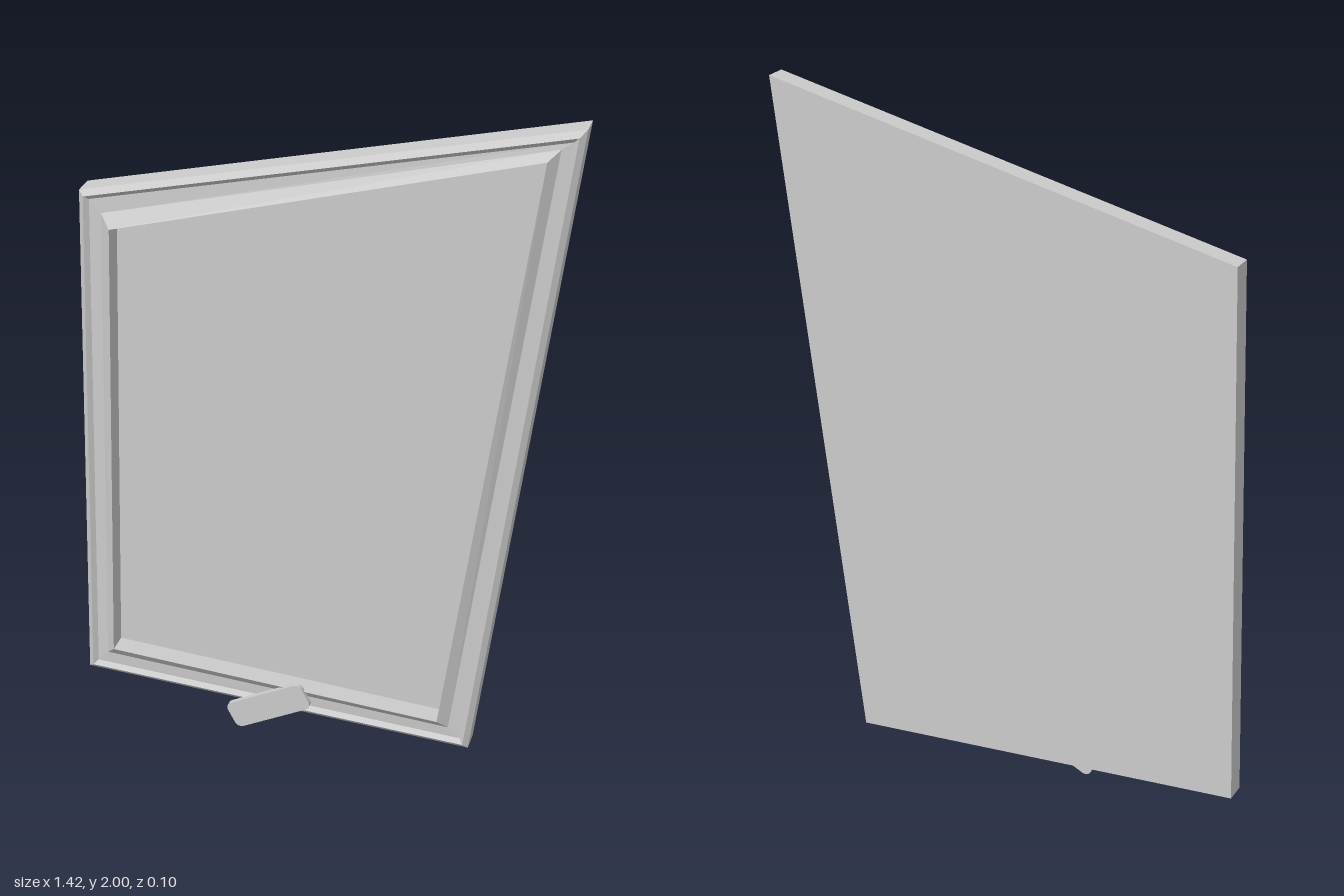
import * as THREE from 'three';

// Outlines, anticlockwise from the front: bottom left, bottom right, top right, top left
const OUTER = [[-0.712, 0.102], [0.463, 0.036], [0.71, 2.0], [-0.667, 1.67]];
const RIDGE_FOOT = [[-0.65, 0.165], [0.402, 0.1], [0.646, 1.94], [-0.605, 1.61]];
const RIDGE_TOP = [[-0.62, 0.198], [0.374, 0.132], [0.616, 1.912], [-0.574, 1.576]];

// Moves every edge of an outline inwards by d and returns the new corners
function inset(points, d) {
  const lines = points.map(([x, y], i) => {
    const [x2, y2] = points[(i + 1) % points.length];
    const len = Math.hypot(x2 - x, y2 - y);
    const nx = -(y2 - y) / len, ny = (x2 - x) / len;
    return { nx, ny, c: nx * x + ny * y + d };
  });
  return points.map((_, i) => {
    const a = lines[(i + points.length - 1) % points.length], b = lines[i];
    const det = a.nx * b.ny - a.ny * b.nx;
    return [(a.c * b.ny - a.ny * b.c) / det, (a.nx * b.c - a.c * b.nx) / det];
  });
}

// Skins a list of [outline, z] rings; optionally closes the first or last ring
function ringMesh(name, profile, material, capFirst, capLast) {
  const rings = profile.map(([outline, z]) => outline.map(([x, y]) => [x, y, z]));
  const pos = [];
  const quad = (a, b, c, d) => pos.push(...a, ...b, ...c, ...a, ...c, ...d);
  for (let r = 0; r < rings.length - 1; r++) {
    for (let i = 0; i < 4; i++) {
      const j = (i + 1) % 4;
      quad(rings[r][i], rings[r][j], rings[r + 1][j], rings[r + 1][i]);
    }
  }
  if (capFirst) quad(...[...rings[0]].reverse());
  if (capLast) quad(...rings[rings.length - 1]);
  const geometry = new THREE.BufferGeometry();
  geometry.setAttribute('position', new THREE.Float32BufferAttribute(pos, 3));
  geometry.computeVertexNormals();
  const mesh = new THREE.Mesh(geometry, material);
  mesh.name = name;
  return mesh;
}

// Rounded rectangle centred on the origin
function roundedRect(w, h, r) {
  const s = new THREE.Shape();
  const x = w / 2 - r, y = h / 2 - r;
  s.absarc(x, y, r, 0, Math.PI / 2);
  s.absarc(-x, y, r, Math.PI / 2, Math.PI);
  s.absarc(-x, -y, r, Math.PI, Math.PI * 1.5);
  s.absarc(x, -y, r, Math.PI * 1.5, Math.PI * 2);
  s.closePath();
  return s;
}

export function createModel() {
  const model = new THREE.Group();
  model.name = 'slantedPictureFrame';
  const grey = new THREE.MeshStandardMaterial({ color: 0xcccccc, flatShading: true });

  // Backing with bevelled rim and groove
  model.add(ringMesh('frame', [
    [OUTER, -0.05], [OUTER, 0.014], [inset(OUTER, 0.016), 0.028],
    [inset(OUTER, 0.029), 0.016], [RIDGE_FOOT, 0.018],
  ], grey, true, false));

  // Sloping ridge with an upright inner wall around the sunken picture panel
  model.add(ringMesh('ridgeAndPanel', [
    [RIDGE_FOOT, 0.018], [RIDGE_TOP, 0.045], [RIDGE_TOP, -0.018],
  ], grey, false, true));

  // Tilted tag overlapping the bottom edge
  const tag = new THREE.Mesh(
    new THREE.ExtrudeGeometry(roundedRect(0.257, 0.086, 0.02),
      { depth: 0.015, bevelEnabled: false, curveSegments: 4 }),
    grey);
  tag.name = 'tag';
  tag.position.set(-0.137, 0.089, 0.035);
  tag.rotation.z = THREE.MathUtils.degToRad(27);
  model.add(tag);

  return model;
}
